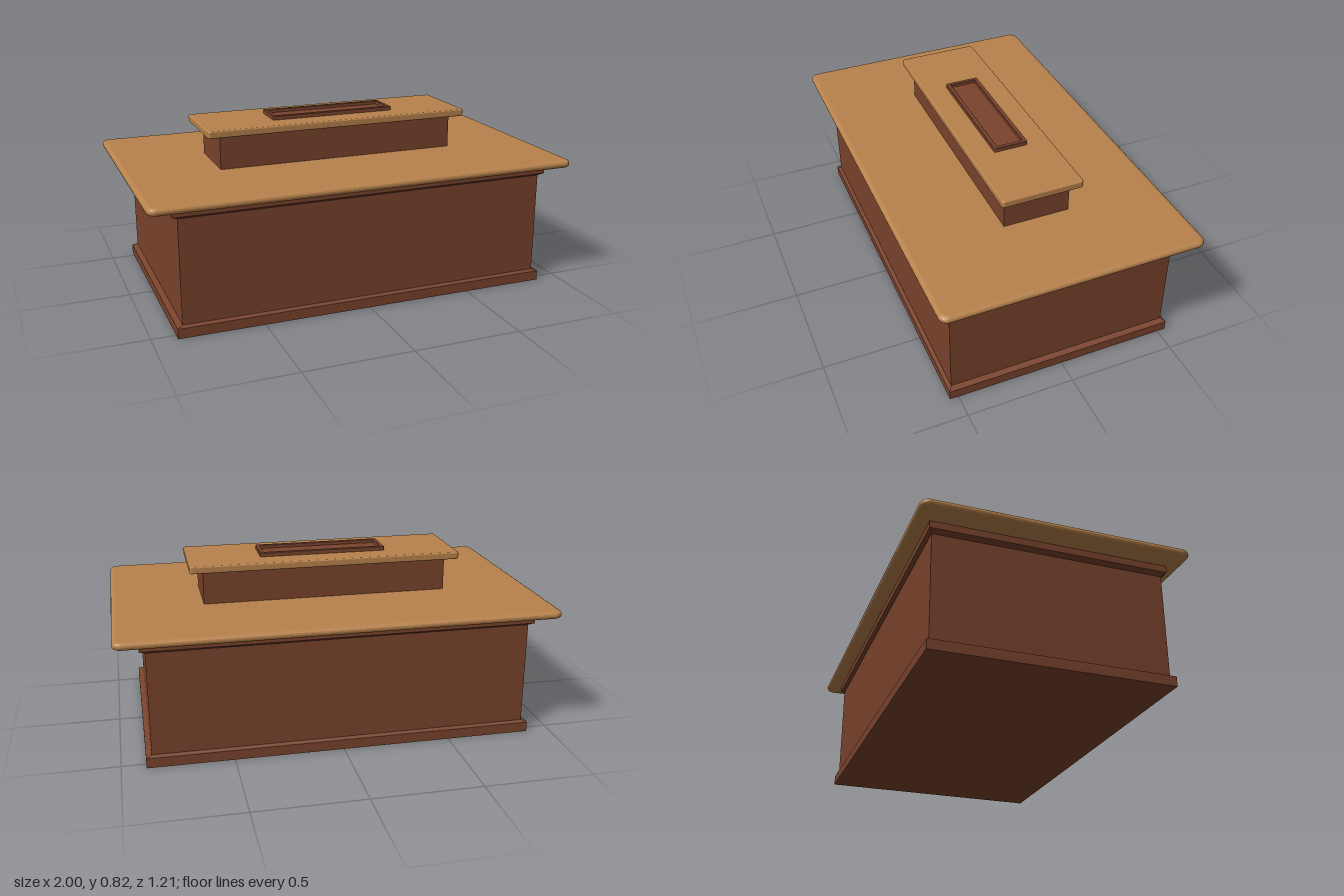
import * as THREE from 'three';

const brown = new THREE.MeshStandardMaterial({ color: 0x7a432c });
const tan = new THREE.MeshStandardMaterial({ color: 0xb8824c });

function add(group, name, geometry, material, y = 0) {
  const mesh = new THREE.Mesh(geometry, material);
  mesh.name = name;
  mesh.position.y = y;
  group.add(mesh);
}

// Solid lofted through rectangles [halfX, halfZ, y], listed from bottom to top
function rectLoft(sections) {
  const pos = [];
  const rings = sections.map(([x, z, y]) => [[-x, y, z], [x, y, z], [x, y, -z], [-x, y, -z]]);
  const quad = (a, b, c, d) => pos.push(...a, ...b, ...c, ...a, ...c, ...d);
  for (let i = 0; i < rings.length - 1; i++) {
    for (let k = 0; k < 4; k++) {
      const n = (k + 1) % 4;
      quad(rings[i][k], rings[i][n], rings[i + 1][n], rings[i + 1][k]);
    }
  }
  const [a, b, c, d] = rings[0];
  quad(d, c, b, a);
  quad(...rings[rings.length - 1]);
  const g = new THREE.BufferGeometry();
  g.setAttribute('position', new THREE.Float32BufferAttribute(pos, 3));
  g.computeVertexNormals();
  return g;
}

function roundedRect(hx, hz, r) {
  const s = new THREE.Shape();
  s.absarc(hx - r, hz - r, r, 0, Math.PI / 2);
  s.absarc(-hx + r, hz - r, r, Math.PI / 2, Math.PI);
  s.absarc(-hx + r, -hz + r, r, Math.PI, Math.PI * 1.5);
  s.absarc(hx - r, -hz + r, r, Math.PI * 1.5, Math.PI * 2);
  s.closePath();
  return s;
}

// Horizontal board with rounded corners and eased edges, standing on y = 0
function board(hx, hz, height, cornerR, edge, bevelHeight, segments) {
  const g = new THREE.ExtrudeGeometry(roundedRect(hx - edge, hz - edge, cornerR - edge), {
    depth: height - 2 * bevelHeight,
    bevelThickness: bevelHeight,
    bevelSize: edge,
    bevelSegments: segments,
    curveSegments: 6,
  });
  return g.translate(0, 0, bevelHeight).rotateX(-Math.PI / 2);
}

export function createModel() {
  const model = new THREE.Group();
  model.name = 'counter';

  // Cabinet with its base and top mouldings
  add(model, 'plinth', rectLoft([[0.89, 0.54, 0], [0.89, 0.54, 0.046], [0.865, 0.525, 0.055]]), brown);
  add(model, 'body', rectLoft([[0.865, 0.524, 0.05], [0.865, 0.524, 0.545]]), brown);
  add(model, 'cornice', rectLoft([[0.865, 0.525, 0.533], [0.89, 0.54, 0.544], [0.89, 0.54, 0.58]]), brown);
  add(model, 'countertop', board(1, 0.605, 0.036, 0.04, 0.022, 0.016, 4), tan, 0.576);

  // Raised riser and its shelf
  add(model, 'riser', rectLoft([[0.578, 0.155, 0.605], [0.578, 0.155, 0.772]]), brown);
  add(model, 'shelf', board(0.64, 0.191, 0.034, 0.014, 0.007, 0.006, 3), tan, 0.767);

  // Shallow tray: an open rim around a low floor
  const rim = roundedRect(0.298, 0.079, 0.004);
  rim.holes.push(new THREE.Path([
    new THREE.Vector2(-0.283, -0.064), new THREE.Vector2(-0.283, 0.064),
    new THREE.Vector2(0.283, 0.064), new THREE.Vector2(0.283, -0.064),
  ]));
  const rimGeometry = new THREE.ExtrudeGeometry(rim, {
    depth: 0.018, bevelThickness: 0.002, bevelSize: 0.002, bevelSegments: 1, curveSegments: 2,
  });
  add(model, 'trayRim', rimGeometry.rotateX(-Math.PI / 2), brown, 0.8);
  add(model, 'trayFloor', new THREE.BoxGeometry(0.57, 0.006, 0.132), brown, 0.801);

  return model;
}
